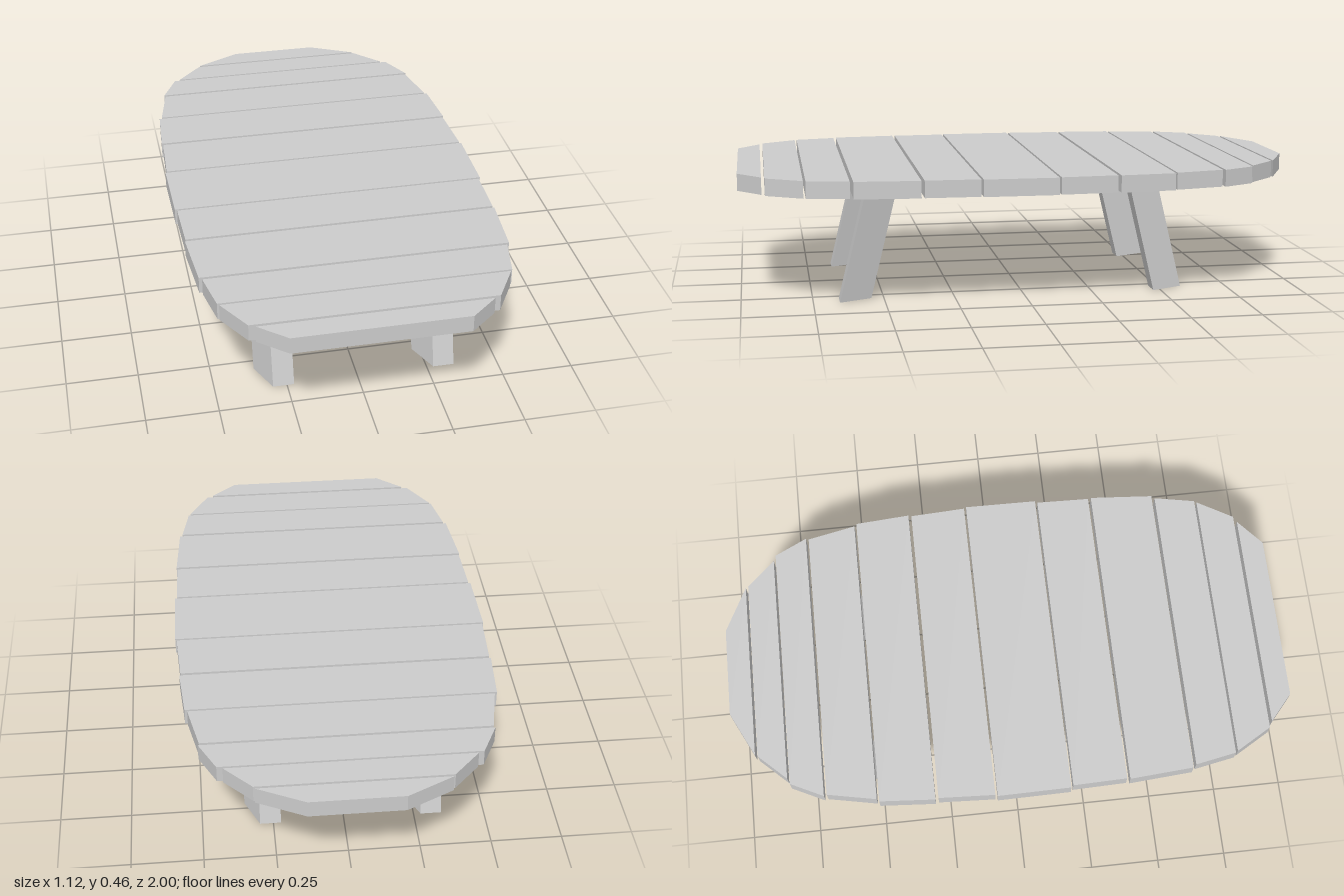
import * as THREE from 'three';

const material = new THREE.MeshStandardMaterial({ color: 0xcccccc, flatShading: true });

// Prism with a flat section of [x, z] points, extruded upwards by height
function prism(points, height) {
  const shape = new THREE.Shape(points.map(([x, z]) => new THREE.Vector2(x, -z)));
  return new THREE.ExtrudeGeometry(shape, { depth: height, bevelEnabled: false }).rotateX(-Math.PI / 2);
}

function addPart(parent, name, geometry) {
  geometry.computeVertexNormals();
  const mesh = new THREE.Mesh(geometry, material);
  mesh.name = name;
  parent.add(mesh);
  return mesh;
}

export function createModel() {
  const table = new THREE.Group();
  table.name = 'plankTable';
  const legHeight = 0.4;
  const topThickness = 0.06;

  // Table top: trapezoid planks as [back z, front z, back half width, front half width]
  const planks = [
    [-1, -0.919, 0.16, 0.322],
    [-0.91, -0.811, 0.327, 0.42],
    [-0.803, -0.687, 0.44, 0.497],
    [-0.677, -0.504, 0.493, 0.528],
    [-0.496, -0.3, 0.537, 0.551],
    [-0.289, -0.09, 0.547, 0.557],
    [-0.082, 0.178, 0.562, 0.559],
    [0.186, 0.377, 0.552, 0.547],
    [0.388, 0.615, 0.55, 0.533],
    [0.626, 0.772, 0.523, 0.495],
    [0.78, 0.907, 0.489, 0.415],
    [0.918, 1, 0.393, 0.298],
  ];
  const top = new THREE.Group();
  top.name = 'tableTop';
  top.position.y = legHeight;
  table.add(top);
  planks.forEach(([z0, z1, w0, w1], i) => {
    addPart(top, `plank${i + 1}`, prism([[-w0, z0], [-w1, z1], [w1, z1], [w0, z0]], topThickness));
  });

  // Legs: skewed section, splayed along z by shearing the upright prism
  const section = [[-0.062, -0.057], [-0.012, 0.057], [0.062, 0.057], [0.012, -0.057]];
  const ends = [
    { name: 'front', footZ: 0.601, topZ: 0.503 },
    { name: 'back', footZ: -0.53, topZ: -0.434 },
  ];
  for (const { name, footZ, topZ } of ends) {
    for (const [side, x] of [['Left', 0.285], ['Right', -0.287]]) {
      const geometry = prism(section, legHeight);
      const shear = new THREE.Matrix4();
      shear.elements[6] = (topZ - footZ) / legHeight;
      geometry.applyMatrix4(shear);
      addPart(table, `${name}${side}Leg`, geometry).position.set(x, 0, footZ);
    }
  }
  return table;
}
